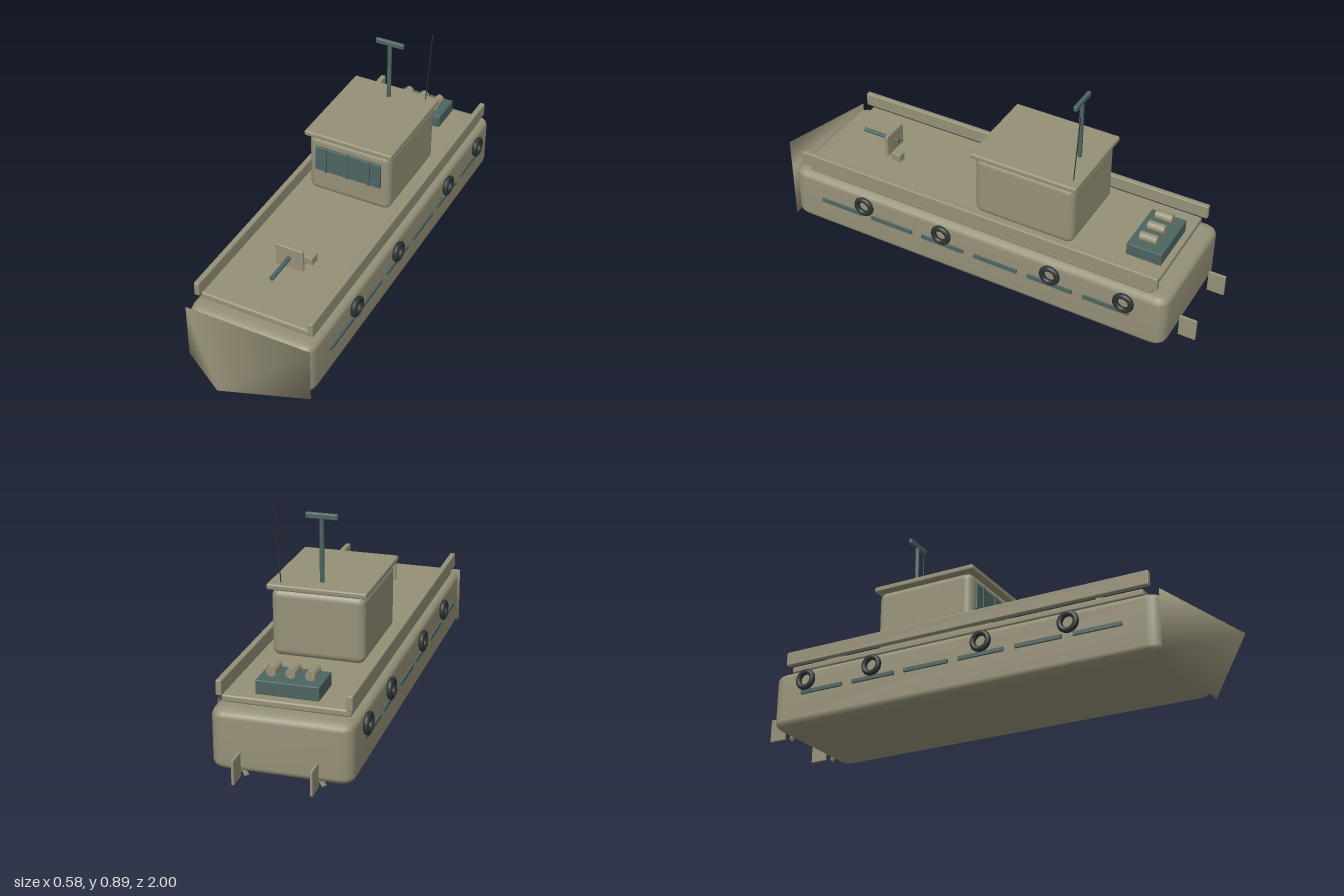
import * as THREE from 'three';
import { mergeVertices } from 'three/addons/utils/BufferGeometryUtils.js';
import { RoundedBoxGeometry } from 'three/addons/geometries/RoundedBoxGeometry.js';

const mat = (name, color) => Object.assign(new THREE.MeshStandardMaterial({ color }), { name });

export function createModel() {
  const boat = new THREE.Group();
  boat.name = 'patrolBoat';
  const tan = mat('dullTan', 0x959077);
  const teal = mat('slateTeal', 0x4d6461);
  const dark = mat('tyreBlack', 0x2c3331);

  function add(name, geometry, material, x = 0, y = 0, z = 0) {
    const mesh = new THREE.Mesh(geometry, material);
    mesh.name = name;
    mesh.position.set(x, y, z);
    boat.add(mesh);
    return mesh;
  }
  // Box given by its extents, optionally with rounded edges
  function block(name, material, [x0, x1], [y0, y1], [z0, z1], r = 0) {
    const s = [x1 - x0, y1 - y0, z1 - z0];
    const g = r ? new RoundedBoxGeometry(...s, 3, r) : new THREE.BoxGeometry(...s);
    return add(name, g, material, (x0 + x1) / 2, (y0 + y1) / 2, (z0 + z1) / 2);
  }

  // Hull: rounded box flattened in height, with soft shared normals
  let hullGeo = new RoundedBoxGeometry(0.534, 0.4, 1.693, 2, 0.052);
  hullGeo.scale(1, 0.24 / 0.4, 1);
  hullGeo.deleteAttribute('normal');
  hullGeo.deleteAttribute('uv');
  hullGeo = mergeVertices(hullGeo, 1e-5);
  hullGeo.computeVertexNormals();
  add('hull', hullGeo, tan, 0, 0.138, -0.0665);

  // Bow: closed pyramid with its base against the hull
  const bow = new THREE.BufferGeometry();
  const [w, b, t, zb] = [0.267, 0.017, 0.258, 0.78];
  bow.setAttribute('position', new THREE.Float32BufferAttribute(
    [-w, b, zb, w, b, zb, w, t, zb, -w, t, zb, 0, 0.138, 1], 3));
  bow.setIndex([0, 2, 1, 0, 3, 2, 0, 1, 4, 1, 2, 4, 2, 3, 4, 3, 0, 4]);
  bow.computeVertexNormals();
  add('bow', bow, tan);

  // Deck and cabin
  block('deck', tan, [-0.242, 0.242], [0.257, 0.285], [-0.842, 0.708], 0.008);
  block('cabin', tan, [-0.182, 0.182], [0.294, 0.562], [-0.475, -0.043], 0.03);
  block('roof', tan, [-0.194, 0.194], [0.562, 0.585], [-0.488, -0.03], 0.007);
  block('windshield', teal, [-0.146, 0.146], [0.408, 0.52], [-0.05, -0.033], 0.003);
  for (const x of [-0.097, 0, 0.097])
    block('windshieldBar', teal, [x - 0.004, x + 0.004], [0.408, 0.522], [-0.045, -0.027]);

  // Mast with crossbar
  add('mast', new THREE.CylinderGeometry(0.009, 0.009, 0.25, 12), teal, 0, 0.708, -0.408);
  block('mastCrossbar', teal, [-0.062, 0.062], [0.83, 0.853], [-0.416, -0.4], 0.005);

  // Leaning whip antenna, a closed thin rod
  const from = new THREE.Vector3(0.146, 0.583, -0.455);
  const rod = new THREE.Vector3(0.157, 0.888, -0.477).sub(from);
  const antenna = add('antenna', new THREE.CylinderGeometry(0.002, 0.002, rod.length(), 6), dark);
  antenna.position.copy(from).addScaledVector(rod, 0.5);
  antenna.quaternion.setFromUnitVectors(new THREE.Vector3(0, 1, 0), rod.normalize());

  // Deck gun with shield and ammunition box
  block('gunShield', tan, [-0.06, 0.06], [0.308, 0.405], [0.437, 0.452], 0.005);
  const barrel = add('gunBarrel', new THREE.CylinderGeometry(0.009, 0.009, 0.168, 12), teal, 0, 0.356, 0.504);
  barrel.rotation.x = Math.PI / 2;
  block('ammoBox', tan, [0.042, 0.078], [0.313, 0.348], [0.367, 0.41], 0.003);

  // Stern engine cover with three drums
  block('engineCover', teal, [-0.119, 0.119], [0.294, 0.348], [-0.822, -0.676], 0.003);
  for (const x of [-0.073, 0, 0.073]) {
    const drum = add('drum', new THREE.CylinderGeometry(0.019, 0.019, 0.07, 16), tan, x, 0.37, -0.748);
    drum.rotation.x = Math.PI / 2;
  }

  // Parts on both sides
  for (const s of [-1, 1]) {
    const side = (a, c) => [Math.min(s * a, s * c), Math.max(s * a, s * c)];
    block('bulwark', tan, side(0.231, 0.254), [0.29, 0.349], [-0.865, 0.735], 0.005);

    for (const z of [0.422, 0.056, -0.432, -0.745]) {
      const tyre = add('tyreFender', new THREE.TorusGeometry(0.033, 0.0115, 10, 24), dark, s * 0.278, 0.199, z);
      tyre.rotation.y = Math.PI / 2;
    }
    for (let i = 0; i < 6; i++) {
      const z = 0.536 - i * 0.2413;
      block('rubStrip', teal, side(0.262, 0.276), [0.142, 0.157], [z - 0.097, z + 0.097]);
    }

    // Rudder and propeller blade
    block('rudder', tan, side(0.14, 0.15), [0.017, 0.112], [-1, -0.928], 0.002);
    const blade = add('propellerBlade', new THREE.BoxGeometry(0.017, 0.05, 0.006), tan, s * 0.145, 0.026, -0.89);
    blade.rotation.z = -Math.PI / 6;
  }
  return boat;
}
